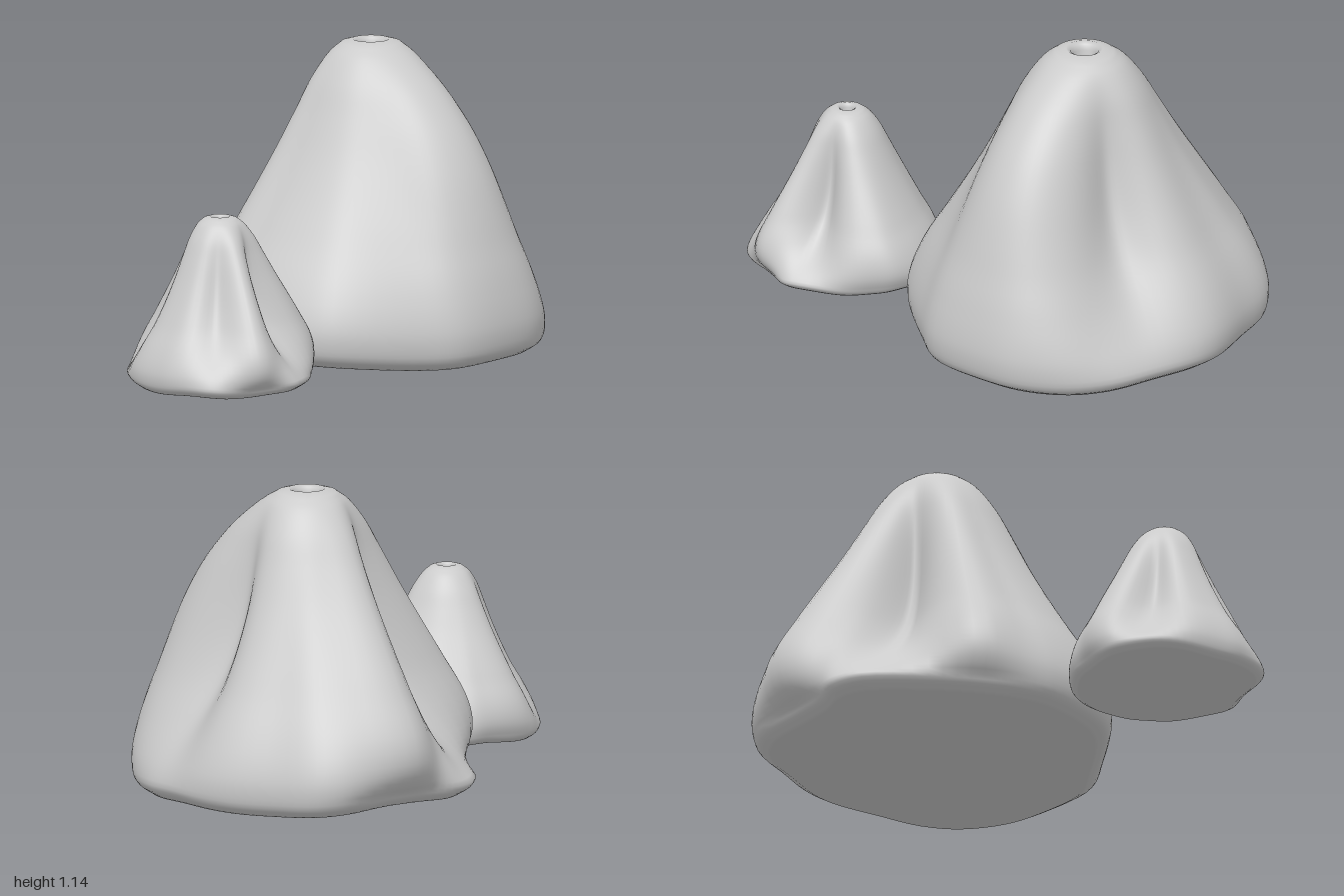
import * as THREE from 'three';

// Closed smooth footprint through [x, z] points, returned relative to the apex
function footprint(points, cx, cz, count) {
  const curve = new THREE.CatmullRomCurve3(
    points.map(([x, z]) => new THREE.Vector3(x - cx, 0, z - cz)), true, 'centripetal');
  return Array.from({ length: count }, (_, i) => {
    const p = curve.getPoint(i / count);
    return { angle: Math.atan2(p.z, p.x), radius: Math.hypot(p.x, p.z) };
  });
}

// Radius fraction and height fraction from the underside over the rim to the neck
const PROFILE = [
  [0.9, 0.0], [0.98, 0.035], [1.0, 0.1], [0.98, 0.17], [0.91, 0.27], [0.78, 0.4],
  [0.65, 0.53], [0.53, 0.66], [0.43, 0.78], [0.345, 0.88], [0.25, 0.955], [0.17, 0.99],
];

// Grooves (positive depth) and bulges (negative depth); bias sets the height of the peak
function relief(folds, angle, h) {
  let sum = 0;
  for (const [degrees, depth, width, bias] of folds) {
    let d = angle - THREE.MathUtils.degToRad(degrees);
    d = Math.atan2(Math.sin(d), Math.cos(d));
    const k = d / THREE.MathUtils.degToRad(width);
    const t = THREE.MathUtils.clamp((h - 0.05) / 0.94, 0, 1);
    sum += depth * Math.exp(-k * k) * Math.sin(Math.PI * Math.pow(t, bias));
  }
  return 1 - sum;
}

function makeMound({ name, apex, height, outline, hole, folds, lift }) {
  const columns = 96;
  const [cx, cz] = apex;
  const base = footprint(outline, cx, cz, columns);
  const mean = base.reduce((s, b) => s + b.radius, 0) / columns;

  // Rows: underside, draped wall, then the small pit in the top
  const wall = new THREE.CatmullRomCurve3(PROFILE.map(([r, h]) => new THREE.Vector3(r, h, 0)));
  const rows = [0, 0.3, 0.6, 0.8].map(r => ({ r, h: 0.02 * (1 - r) }));
  for (let i = 0; i <= 44; i++) {
    const p = wall.getPoint(i / 44);
    rows.push({ r: p.x, h: p.y });
  }
  const pit = [[1.5, 1], [1.15, 0.993], [1, 0.975], [0.95, 0.94], [0.8, 0.9], [0, 0.89]];
  pit.forEach(([r, h]) => rows.push({ r: r * hole / mean, h }));

  const positions = [];
  for (const { r, h } of rows) {
    for (const { angle, radius } of base) {
      const round = THREE.MathUtils.smoothstep(h, 0.3, 0.97);
      const R = THREE.MathUtils.lerp(radius, mean, round) * r * relief(folds, angle, h);
      const y = h * height + lift(angle) * r * Math.max(0, 1 - h * 2.5);
      positions.push(cx + R * Math.cos(angle), y, cz + R * Math.sin(angle));
    }
  }
  const index = [];
  for (let j = 0; j < rows.length - 1; j++) {
    for (let i = 0; i < columns; i++) {
      const n = (i + 1) % columns;
      const a = j * columns + i, b = j * columns + n;
      index.push(a, a + columns, b + columns, a, b + columns, b);
    }
  }
  const geometry = new THREE.BufferGeometry();
  geometry.setAttribute('position', new THREE.Float32BufferAttribute(positions, 3));
  geometry.setIndex(index);
  geometry.computeVertexNormals();
  const mesh = new THREE.Mesh(geometry,
    new THREE.MeshStandardMaterial({ color: 0xcccccc, side: THREE.DoubleSide }));
  mesh.name = name;
  return mesh;
}

export function createModel() {
  const group = new THREE.Group();
  group.name = 'foldedMounds';

  group.add(makeMound({
    name: 'largeMound',
    apex: [0, -0.385],
    height: 1.14,
    hole: 0.045,
    outline: [
      [0.655, -0.35], [0.6, -0.12], [0.48, 0.02], [0.27, 0.22], [0.13, 0.27], [-0.12, 0.27],
      [-0.25, 0.21], [-0.34, 0.13], [-0.48, -0.04], [-0.65, -0.25], [-0.66, -0.37], [-0.6, -0.48],
      [-0.55, -0.62], [-0.48, -0.85], [-0.38, -0.94], [-0.2, -0.97], [0, -1], [0.13, -0.98],
      [0.3, -0.9], [0.44, -0.82], [0.57, -0.69], [0.65, -0.52],
    ],
    // angle, depth, width, height bias
    folds: [[165, 0.52, 19, 0.95], [128, -0.16, 14, 0.75], [202, -0.25, 17, 0.75],
      [-55, 0.32, 22, 1.1], [5, -0.42, 34, 2.2]],
    lift: a => 0.025 - 0.022 * Math.cos(a) + 0.006 * Math.cos(5 * a),
  }));

  group.add(makeMound({
    name: 'smallMound',
    apex: [0.03, 0.655],
    height: 0.65,
    hole: 0.025,
    outline: [
      [0.39, 0.66], [0.385, 0.71], [0.33, 0.79], [0.3, 0.84], [0.25, 0.95], [0.19, 0.99],
      [0.05, 1], [-0.03, 0.985], [-0.17, 0.93], [-0.27, 0.83], [-0.33, 0.7], [-0.32, 0.62],
      [-0.26, 0.5], [-0.22, 0.42], [-0.12, 0.33], [0, 0.29], [0.1, 0.29], [0.2, 0.33],
      [0.26, 0.4], [0.33, 0.5],
    ],
    folds: [[-6, 0.45, 19, 1], [30, -0.25, 15, 0.8], [60, 0.22, 16, 1], [155, 0.32, 20, 1],
      [197, -0.16, 26, 1], [-52, -0.16, 25, 1]],
    lift: a => 0.032 + 0.006 * Math.cos(5 * a),
  }));

  return group;
}
